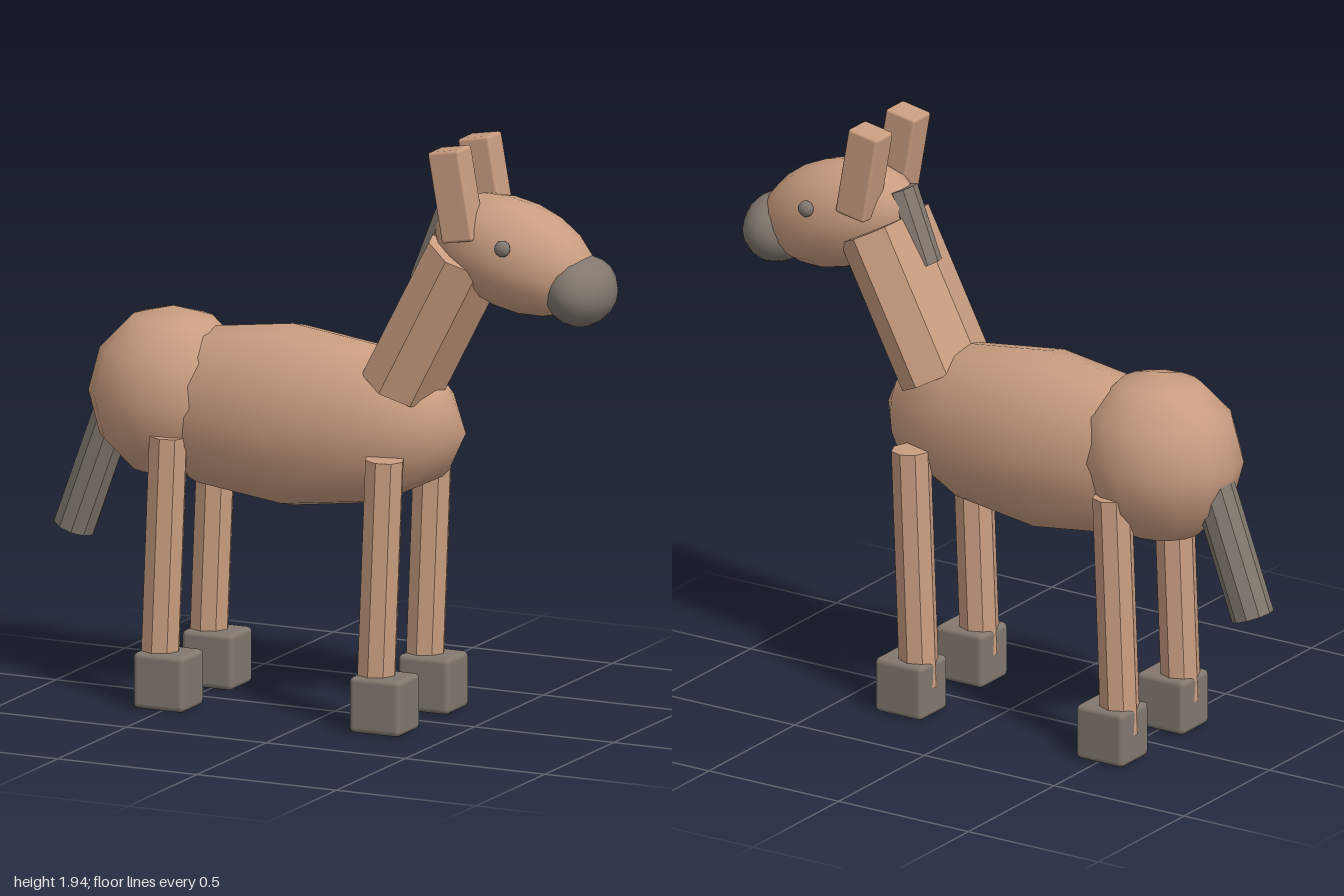
import * as THREE from 'three';
import { RoundedBoxGeometry } from 'three/addons/geometries/RoundedBoxGeometry.js';

const coat = new THREE.MeshStandardMaterial({ color: 0xc99d80 });
coat.name = 'tan coat';
const coatFlat = new THREE.MeshStandardMaterial({ color: 0xc99d80, flatShading: true });
coatFlat.name = 'tan coat faceted';
const grey = new THREE.MeshStandardMaterial({ color: 0x82786f });
grey.name = 'warm grey';
const greyFlat = new THREE.MeshStandardMaterial({ color: 0x82786f, flatShading: true });
greyFlat.name = 'warm grey faceted';

export function createModel() {
  const model = new THREE.Group();
  model.name = 'donkey';

  function add(name, geometry, material, x, y, z, tilt = 0) {
    const mesh = new THREE.Mesh(geometry, material);
    mesh.name = name;
    mesh.position.set(x, y, z);
    mesh.rotation.z = tilt;
    model.add(mesh);
    return mesh;
  }

  // Ellipsoid with its poles along y, or along x when lying
  function ellipsoid(rx, ry, rz, lying = false, wide = 16, high = 6) {
    const g = new THREE.SphereGeometry(1, wide, high);
    if (lying) g.rotateZ(-Math.PI / 2);
    return g.scale(rx, ry, rz);
  }

  // Faceted post between two points in the side plane
  function post(name, material, [x0, y0], [x1, y1], z, r, rz = r, sides = 8) {
    const g = new THREE.CylinderGeometry(1, 1, Math.hypot(x1 - x0, y1 - y0), sides);
    g.rotateY(Math.PI / 2);
    g.scale(r, 1, rz);
    return add(name, g, material, (x0 + x1) / 2, (y0 + y1) / 2, z, -Math.atan2(x1 - x0, y1 - y0));
  }

  // Trunk
  add('body', ellipsoid(0.62, 0.3, 0.23, true), coat, -0.15, 0.97, 0);
  add('rump', ellipsoid(0.28, 0.285, 0.245), coat, -0.58, 1.0, 0);
  post('neck', coatFlat, [0.245, 1.115], [0.485, 1.575], 0, 0.137, 0.18);
  post('tail', greyFlat, [-0.935, 0.52], [-0.76, 1.0], 0, 0.07, 0.07, 10);

  // Head
  add('head', ellipsoid(0.29, 0.18, 0.165, true, 16, 10), coat, 0.65, 1.58, 0, -0.32);
  add('muzzle', ellipsoid(0.112, 0.116, 0.145, false, 16, 10), grey, 0.885, 1.485, 0);
  post('mane', greyFlat, [0.32, 1.47], [0.415, 1.71], 0, 0.045, 0.058);

  for (const side of [1, -1]) {
    add('ear', new RoundedBoxGeometry(0.113, 0.3, 0.1, 2, 0.01), coat, 0.49, 1.785, side * 0.11, 0.175);
    add('eye', ellipsoid(0.027, 0.027, 0.022, false, 12, 8), grey, 0.68, 1.635, side * 0.162);

    // Legs and hooves
    for (const [name, x] of [['front', 0.265], ['hind', -0.51]]) {
      post(name + 'Leg', coatFlat, [x - 0.032, 0.1], [x, 0.9], side * 0.177, 0.065);
      add(name + 'Hoof', new RoundedBoxGeometry(0.183, 0.185, 0.158, 2, 0.018), grey, x, 0.0975, side * 0.177);
    }
  }

  // Rest the hooves on the ground
  model.updateMatrixWorld(true);
  const box = new THREE.Box3().setFromObject(model, true);
  for (const part of model.children) part.position.y -= box.min.y;
  return model;
}
